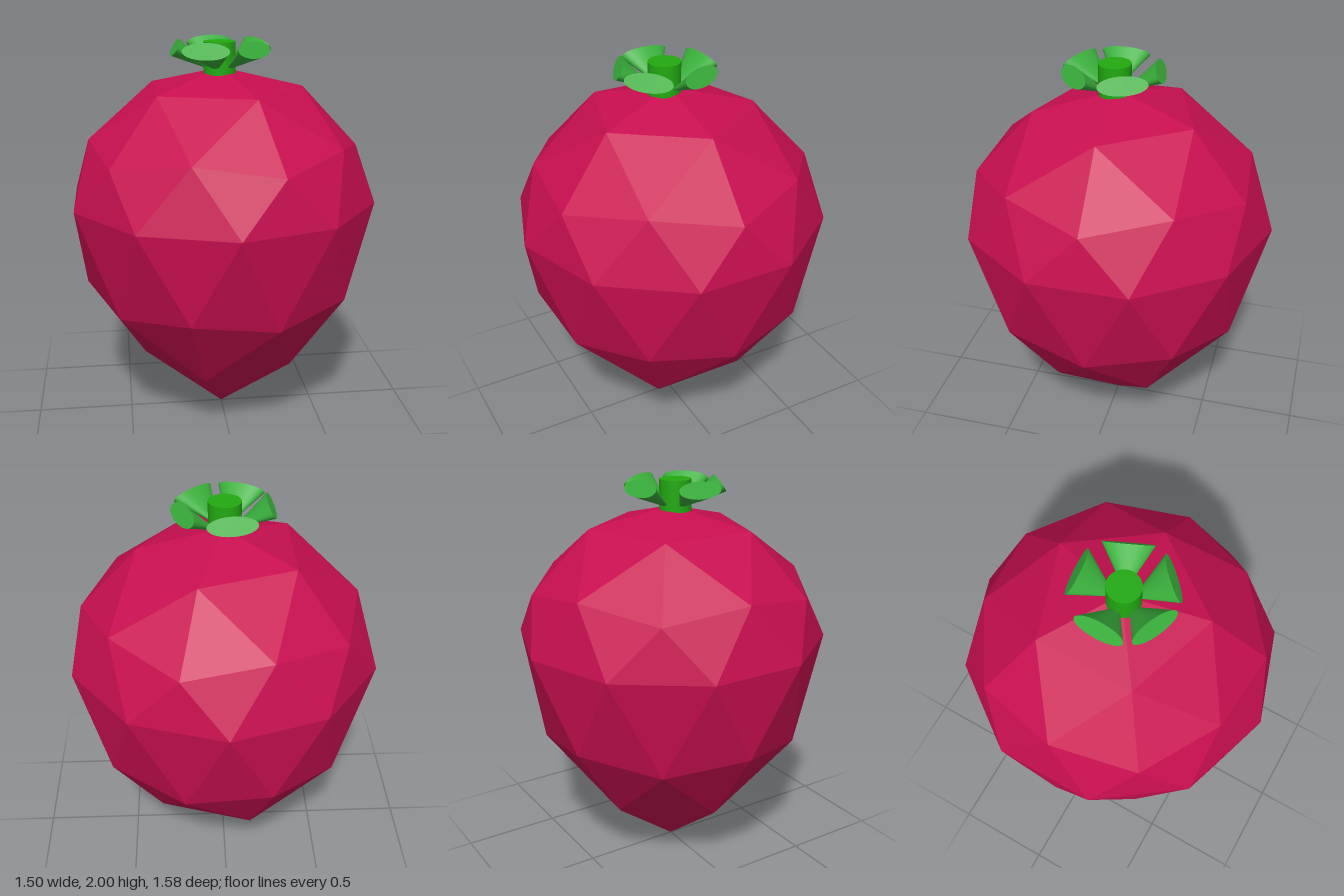
import * as THREE from 'three';

const material = (color, flatShading = false) => new THREE.MeshStandardMaterial({ color, flatShading });

// Height of each ring of the fruit: [height on a unit sphere, final height]
const HEIGHTS = [[-1, 0], [-0.851, 0.325], [-0.526, 0.69], [-0.447, 0.75], [0, 1.2],
  [0.447, 1.45], [0.526, 1.51], [0.851, 1.76], [1, 1.86]];

function ringHeight(y) {
  let best = HEIGHTS[0];
  for (const h of HEIGHTS) if (Math.abs(h[0] - y) < Math.abs(best[0] - y)) best = h;
  return best[1];
}

// Faceted fruit: a sphere of triangles, one corner straight up, drawn down to a point
function createFruit() {
  const geo = new THREE.IcosahedronGeometry(1, 1);
  geo.rotateZ(-Math.atan(2 / (1 + Math.sqrt(5))));
  const p = geo.attributes.position;
  for (let i = 0; i < p.count; i++) {
    p.setXYZ(i, p.getX(i) * 0.79, ringHeight(p.getY(i)), p.getZ(i) * 0.79);
  }
  geo.computeVertexNormals();
  const fruit = new THREE.Mesh(geo, material(0xc80f50, true));
  fruit.name = 'fruit';
  return fruit;
}

// Flattened cone, its tip at the stem and its wide end facing out and up
function createLeafGeometry() {
  const length = 0.212;
  const geo = new THREE.ConeGeometry(0.12, length, 32);
  geo.rotateX(Math.PI);
  geo.translate(0, length / 2, 0);
  geo.scale(0.38, 1, 1);
  geo.rotateZ(-THREE.MathUtils.degToRad(58));
  geo.translate(0.04, 0, 0);
  return geo;
}

export function createModel() {
  const model = new THREE.Group();
  model.name = 'fruitWithLeaves';
  model.add(createFruit());

  // Crown: short stem with a ring of leaves, slightly off centre
  const crown = new THREE.Group();
  crown.name = 'crown';
  crown.position.set(-0.01, 1.85, 0.02);
  const stem = new THREE.Mesh(new THREE.CylinderGeometry(0.08, 0.08, 0.19, 32), material(0x22aa11));
  stem.name = 'stem';
  stem.position.y = 0.045;
  crown.add(stem);

  const leafGeometry = createLeafGeometry();
  const leafMaterial = material(0x3ab03c);
  for (const angle of [-97, -24, 47, 114, 180]) {
    const leaf = new THREE.Mesh(leafGeometry, leafMaterial);
    leaf.name = 'leaf';
    leaf.rotation.y = -THREE.MathUtils.degToRad(angle);
    crown.add(leaf);
  }
  model.add(crown);
  return model;
}
